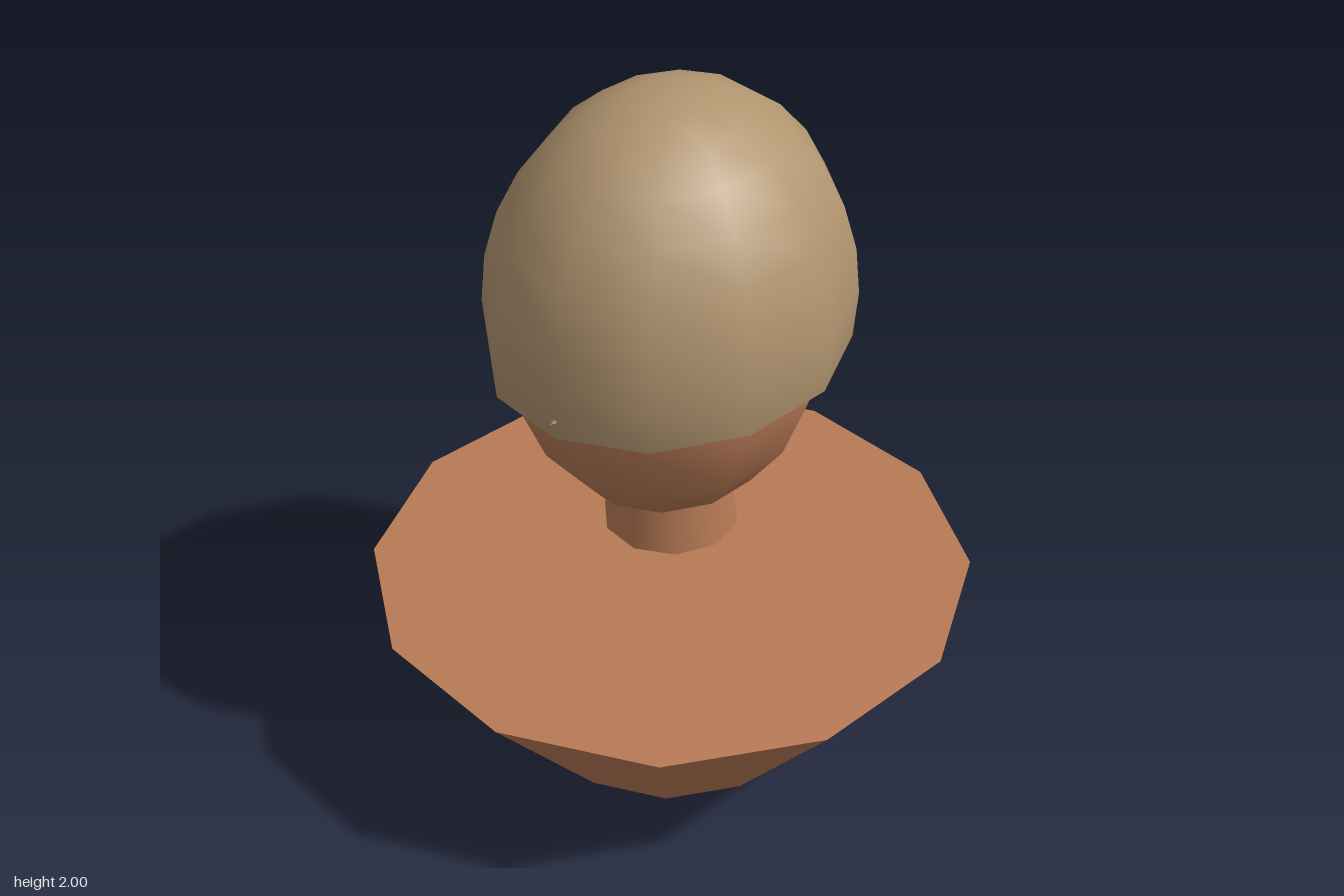
import * as THREE from 'three';

export function createModel() {
  const group = new THREE.Group();
  const skin = new THREE.MeshStandardMaterial({ color: 0xb87a56 });
  skin.name = 'skin';
  const cloth = new THREE.MeshStandardMaterial({ color: 0xb0946f, side: THREE.DoubleSide });
  cloth.name = 'tan cap';

  const add = (name, geometry, material, y, z = 0) => {
    const mesh = new THREE.Mesh(geometry, material);
    mesh.name = name;
    mesh.position.set(0, y, z);
    group.add(mesh);
    return mesh;
  };

  // Flared twelve-sided shoulders
  add('shoulders', new THREE.CylinderGeometry(0.845, 0.415, 0.545, 12), skin, 0.2725);

  // Tapered neck, its top hidden in the head
  add('neck', new THREE.CylinderGeometry(0.162, 0.19, 0.24, 10), skin, 0.82);

  // Egg-shaped head
  add('head', new THREE.SphereGeometry(1, 12, 10), skin, 1.38).scale.set(0.428, 0.58, 0.485);

  // Small pointed nose, only its tip showing through the cap
  const nose = new THREE.ConeGeometry(0.045, 0.12, 6);
  nose.rotateX(Math.PI / 2);
  add('nose', nose, skin, 1.33, 0.495);

  // Open dome cap reaching just below the widest line
  const dome = new THREE.SphereGeometry(1, 12, 8, 0, Math.PI * 2, 0, Math.PI * 0.567);
  add('cap', dome, cloth, 1.4).scale.set(0.47, 0.6, 0.545);

  return group;
}
